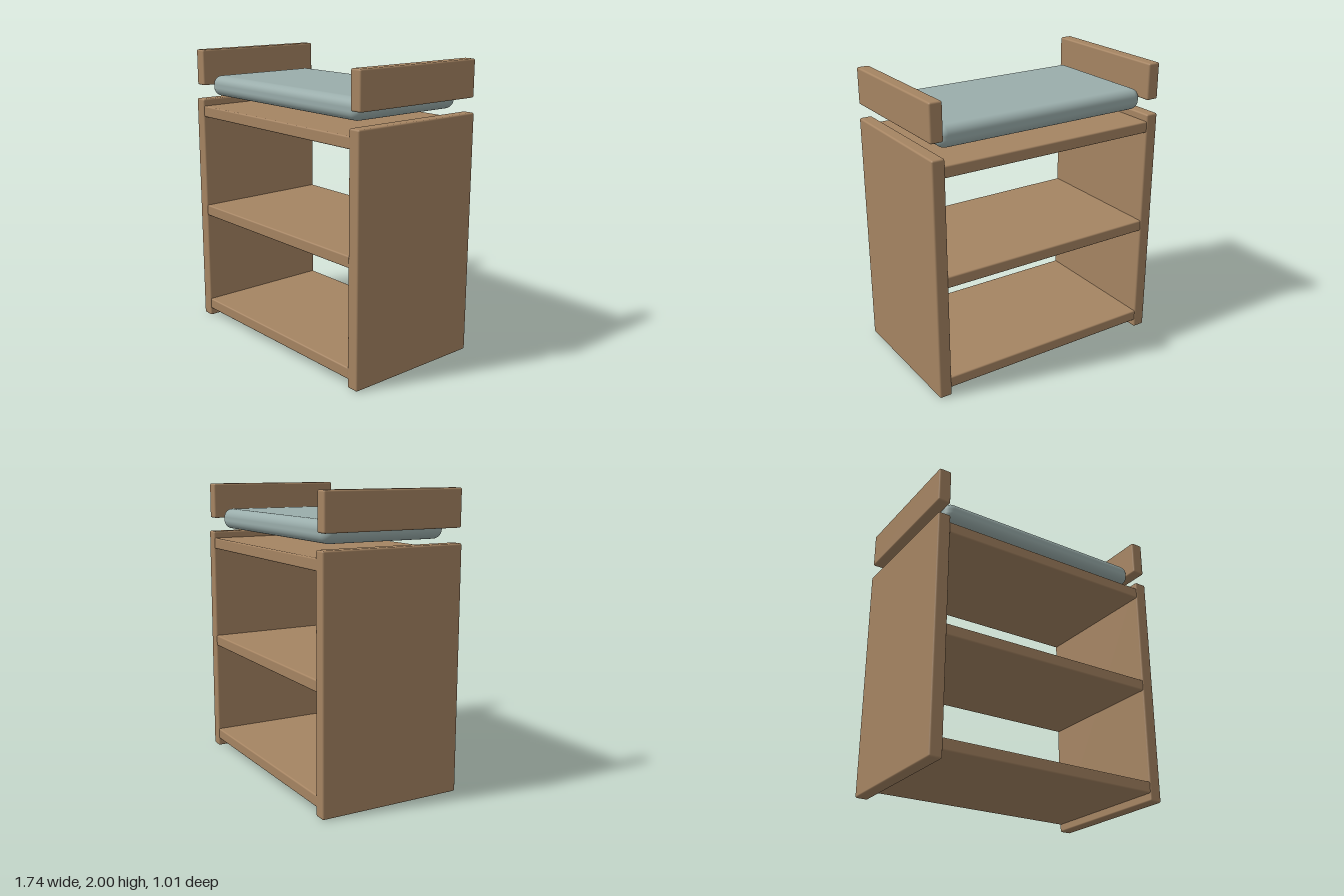
import * as THREE from 'three';
import { RoundedBoxGeometry } from 'three/addons/geometries/RoundedBoxGeometry.js';

export function createModel() {
  const model = new THREE.Group();
  model.name = 'changingTable';

  const wood = new THREE.MeshStandardMaterial({ color: 0xa58462 });
  wood.name = 'wood';
  const fabric = new THREE.MeshStandardMaterial({ color: 0x9aadab });
  fabric.name = 'pad fabric';

  // Rounded block given by its centre x, bottom and top heights, width and depth
  function block(name, material, x, y0, y1, width, depth, radius, segments = 3) {
    const geometry = new RoundedBoxGeometry(width, y1 - y0, depth, segments, radius);
    const mesh = new THREE.Mesh(geometry, material);
    mesh.name = name;
    mesh.position.set(x, (y0 + y1) / 2, 0);
    model.add(mesh);
  }

  // Side panels and the guard rails floating above them
  for (const [side, s] of [['left', 1], ['right', -1]]) {
    block(side + 'Panel', wood, s * 0.826, 0, 1.652, 0.088, 1.008, 0.012);
    block(side + 'GuardRail', wood, s * 0.826, 1.75, 2, 0.088, 0.99, 0.012);
  }

  // Shelves and top deck
  const shelves = [['bottomShelf', 0.055], ['middleShelf', 0.79], ['topDeck', 1.525]];
  for (const [name, y] of shelves) {
    block(name, wood, 0, y, y + 0.078, 1.58, 1.0, 0.01);
  }

  // Soft changing pad
  block('changingPad', fabric, 0, 1.675, 1.818, 1.556, 0.88, 0.06, 8);

  return model;
}
